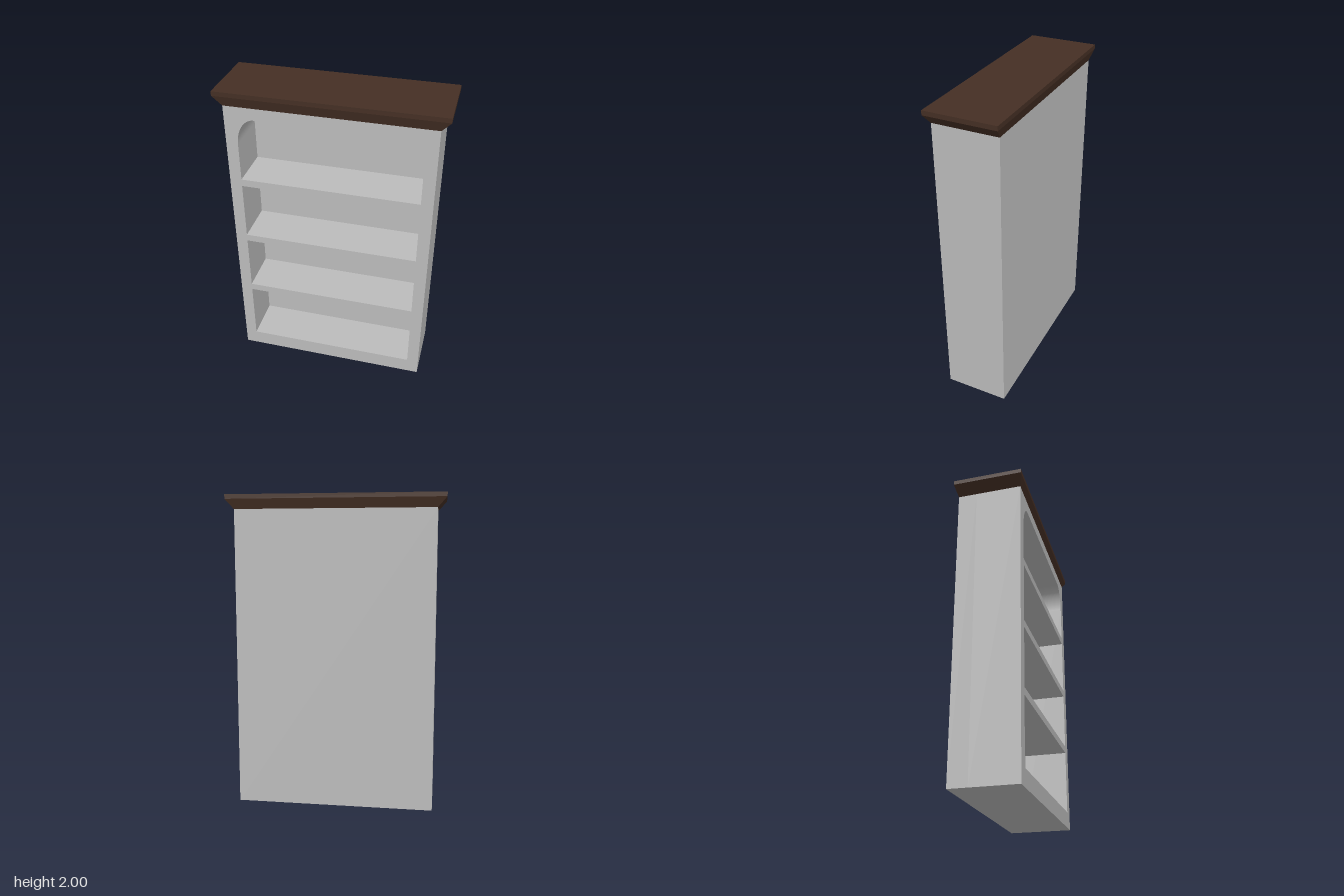
import * as THREE from 'three';

const W = 0.635, D = 0.205, H = 1.91;        // cabinet half width, half depth, height
const CROWN_W = 0.69, CROWN_D = 0.223;       // crown half width and half depth
const NICHE_W = 0.56, NICHE_BACK = -0.085;   // opening half width, z of its back wall

export function createModel() {
  const model = new THREE.Group();
  const paint = new THREE.MeshStandardMaterial({ color: 0xbcbcbc });
  paint.name = 'greyPaint';
  const wood = new THREE.MeshStandardMaterial({ color: 0x452f24 });
  wood.name = 'darkWood';

  const add = (name, geometry, material, x = 0, y = 0, z = 0) => {
    const mesh = new THREE.Mesh(geometry, material);
    mesh.name = name;
    mesh.position.set(x, y, z);
    model.add(mesh);
    return mesh;
  };

  // Front frame and side walls: a slab with a round-shouldered opening
  const outline = new THREE.Shape();
  outline.moveTo(-W, 0).lineTo(W, 0).lineTo(W, H).lineTo(-W, H).closePath();
  const rx = 0.11, ry = 0.17, top = 1.835, bottom = 0.105;
  const opening = new THREE.Path();
  opening.moveTo(-NICHE_W, bottom).lineTo(NICHE_W, bottom).lineTo(NICHE_W, top - ry);
  opening.absellipse(NICHE_W - rx, top - ry, rx, ry, 0, Math.PI / 2, false);
  opening.lineTo(-NICHE_W + rx, top);
  opening.absellipse(-NICHE_W + rx, top - ry, rx, ry, Math.PI / 2, Math.PI, false);
  opening.closePath();
  outline.holes.push(opening);
  add('cabinetFrame', new THREE.ExtrudeGeometry(outline, {
    depth: D - NICHE_BACK, bevelEnabled: false, curveSegments: 16,
  }), paint, 0, 0, NICHE_BACK);

  // Thick back behind the opening
  const backDepth = NICHE_BACK + D;
  add('cabinetBack', new THREE.BoxGeometry(2 * W, H, backDepth), paint, 0, H / 2, -D + backDepth / 2);

  // Three shelves flush with the frame
  const shelf = new THREE.BoxGeometry(2 * NICHE_W, 0.047, D - NICHE_BACK);
  [0.543, 0.968, 1.394].forEach((y, i) =>
    add(`shelf${i + 1}`, shelf, paint, 0, y, (D + NICHE_BACK) / 2));

  // Sloped crown moulding: a box narrowed at its foot to meet the cabinet
  const capBottom = 1.972;
  const moulding = new THREE.BoxGeometry(2 * CROWN_W, capBottom - H, 2 * CROWN_D).toNonIndexed();
  const p = moulding.attributes.position;
  for (let i = 0; i < p.count; i++) {
    if (p.getY(i) < 0) {
      p.setX(i, Math.sign(p.getX(i)) * W);
      p.setZ(i, Math.sign(p.getZ(i)) * D);
    }
  }
  moulding.computeVertexNormals();
  add('crownMoulding', moulding, wood, 0, (H + capBottom) / 2, 0);

  // Flat cap on top
  add('crownCap', new THREE.BoxGeometry(2 * CROWN_W, 2 - capBottom, 2 * CROWN_D), wood, 0, (2 + capBottom) / 2, 0);

  return model;
}
